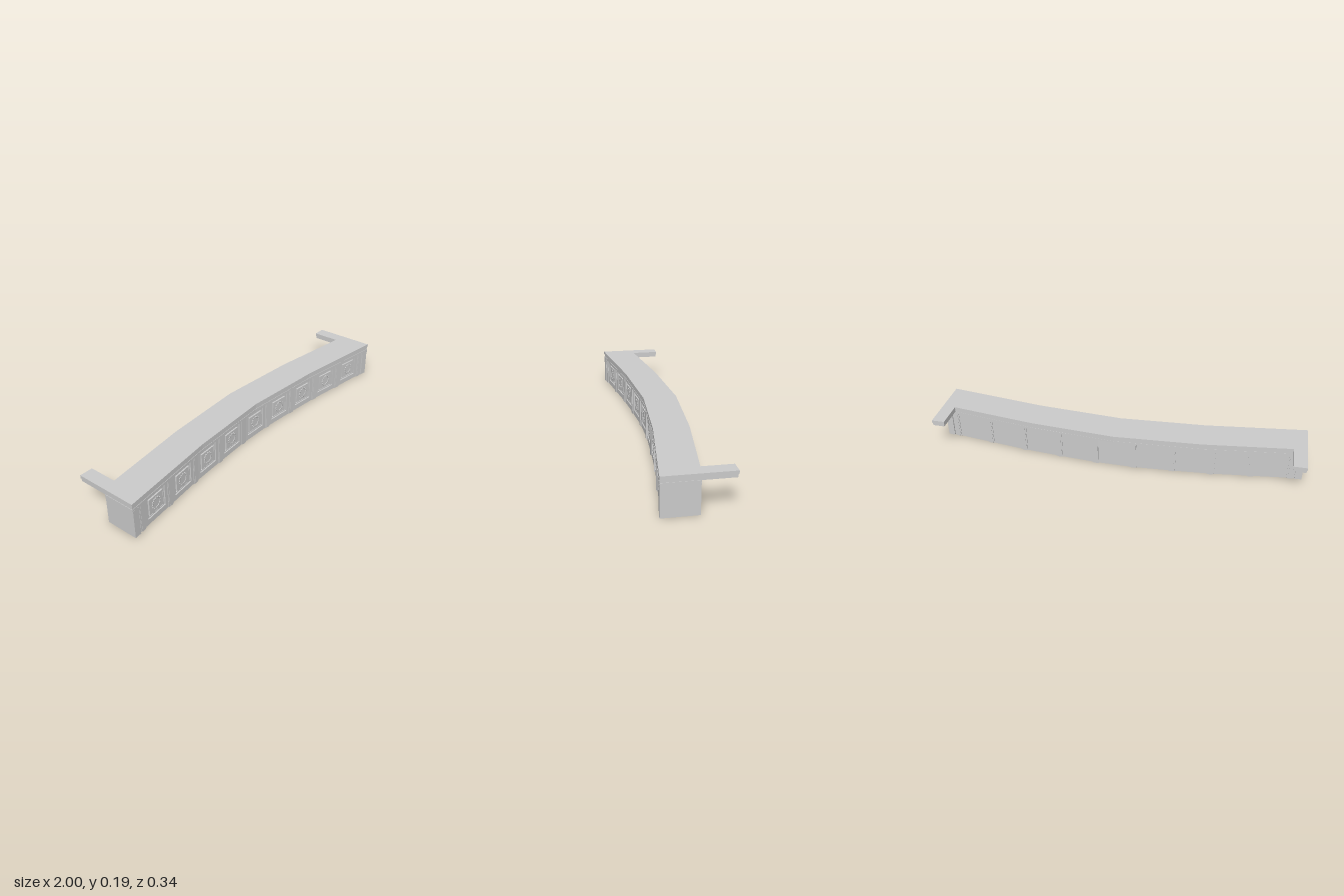
import * as THREE from 'three';

const mat = new THREE.MeshStandardMaterial({ color: 0xcccccc });
const DEPTH = 0.18, BAY = 0.2075, BAYS = 9;

// front line of the bowed parapet in plan
function frontZ(x) {
  const a = Math.abs(x);
  return a < 0.46 ? 0.07 + (a / 0.46) * 0.03 : 0.10 + ((a - 0.46) / 0.54) * 0.07;
}

function mesh(name, geo, parent) {
  const m = new THREE.Mesh(geo, mat);
  m.name = name;
  parent.add(m);
  return m;
}

// plan outline [x, z] raised from y0 to y1
function prism(name, points, y0, y1, parent) {
  const shape = new THREE.Shape(points.map(([x, z]) => new THREE.Vector2(x, z)));
  const geo = new THREE.ExtrudeGeometry(shape, { depth: y1 - y0, bevelEnabled: false });
  geo.rotateX(Math.PI / 2).translate(0, y1, 0);
  return mesh(name, geo, parent);
}

// slab following the bow through the given x stations
function slab(name, xs, frontInset, backInset, y0, y1, parent) {
  const front = xs.map(x => [x, frontZ(x) - frontInset]);
  const back = xs.map(x => [x, frontZ(x) - DEPTH + backInset]).reverse();
  return prism(name, front.concat(back), y0, y1, parent);
}

// coping with a return arm at each end
function coping(name, inset, y0, y1, parent) {
  const e = 1 - inset, n = 0.93 + inset;
  const xs = [-e, -0.46, 0, 0.46, e];
  const front = xs.map(x => [x, frontZ(x) - inset]);
  const backZ = x => frontZ(x) - DEPTH + inset;
  const back = [
    [e, -0.17 + inset], [n, -0.17 + inset], [n, backZ(n)],
    [0.46, backZ(0.46)], [0, backZ(0)], [-0.46, backZ(0.46)],
    [-n, backZ(n)], [-n, -0.17 + inset], [-e, -0.17 + inset],
  ];
  return prism(name, front.concat(back), y0, y1, parent);
}

function rect(path, x0, y0, x1, y1) {
  path.moveTo(x0, y0);
  path.lineTo(x1, y0);
  path.lineTo(x1, y1);
  path.lineTo(x0, y1);
  path.closePath();
  return path;
}

// square frame between two half sizes
function frameGeometry(outer, inner, depth) {
  const s = rect(new THREE.Shape(), -outer, -outer, outer, outer);
  s.holes.push(rect(new THREE.Path(), -inner, -inner, inner, inner));
  return new THREE.ExtrudeGeometry(s, { depth, bevelEnabled: false });
}

// bay front: pierced face, recessed frame, raised tablet and rosette
function makeBay(length) {
  const bay = new THREE.Group();
  bay.name = 'panelBay';
  const cy = 0.086, h = 0.163, half = 0.066;
  const face = rect(new THREE.Shape(), -length / 2, 0, length / 2, h);
  face.holes.push(rect(new THREE.Path(), -half, cy - 0.057, half, cy + 0.057));
  mesh('bayFace', new THREE.ExtrudeGeometry(face, { depth: 0.01, bevelEnabled: false }), bay);

  const frame = mesh('panelFrame', frameGeometry(0.057, 0.051, 0.006), bay);
  frame.scale.x = half / 0.057 * 0.95;
  frame.scale.y = 0.95;
  frame.position.y = cy;
  const tablet = mesh('panelTablet', new THREE.BoxGeometry(0.1, 0.086, 0.009), bay);
  tablet.position.set(0, cy, 0.0045);

  const ring = mesh('rosetteRing', new THREE.TorusGeometry(0.026, 0.0025, 6, 32), bay);
  ring.position.set(0, cy, 0.009);
  const lobeGeo = new THREE.SphereGeometry(0.005, 8, 6).scale(1, 1, 0.6);
  for (let i = 0; i < 12; i++) {
    const t = (i / 12) * Math.PI * 2;
    const lobe = mesh('rosetteLobe', lobeGeo, bay);
    lobe.position.set(Math.cos(t) * 0.029, cy + Math.sin(t) * 0.029, 0.009);
  }
  return bay;
}

export function createModel() {
  const model = new THREE.Group();
  model.name = 'bowedParapet';

  // wall core, straight between bay joints
  const joints = [];
  for (let i = 0; i <= BAYS; i++) joints.push((i - BAYS / 2) * BAY);
  slab('wallCore', [-0.994, ...joints, 0.994], 0.018, 0.009, 0, 0.163, model);

  // decorated bays
  for (let i = 0; i < BAYS; i++) {
    const [x0, x1] = [joints[i], joints[i + 1]];
    const [z0, z1] = [frontZ(x0), frontZ(x1)];
    const bay = makeBay(Math.hypot(x1 - x0, z1 - z0));
    bay.position.set((x0 + x1) / 2, 0, (z0 + z1) / 2 - 0.018);
    bay.rotation.y = -Math.atan2(z1 - z0, x1 - x0);
    model.add(bay);
  }

  // pilasters over the joints, showing front and back
  for (const x of joints) {
    slab('pilaster', [x - 0.018, x + 0.018], 0.004, 0.005, 0, 0.163, model);
    slab('pilasterStrip', [x - 0.011, x + 0.011], 0.002, 0.003, 0, 0.163, model);
  }

  // end piers
  for (const s of [-1, 1]) {
    const xs = [s * 0.957, s * 0.995].sort((a, b) => a - b);
    slab('endPier', xs, 0.001, 0.001, 0, 0.163, model);
    const tip = [s * 0.95, s * 0.997].sort((a, b) => a - b);
    slab('pierBand', tip, 0.0005, 0.0005, 0.14, 0.153, model);
  }

  // moulding under the coping
  slab('cornice', [-0.999, -0.46, 0, 0.46, 0.999], 0.001, 0.002, 0.153, 0.164, model);

  // stepped coping
  coping('copingLower', 0.003, 0.163, 0.178, model);
  coping('copingUpper', 0, 0.178, 0.195, model);
  return model;
}
